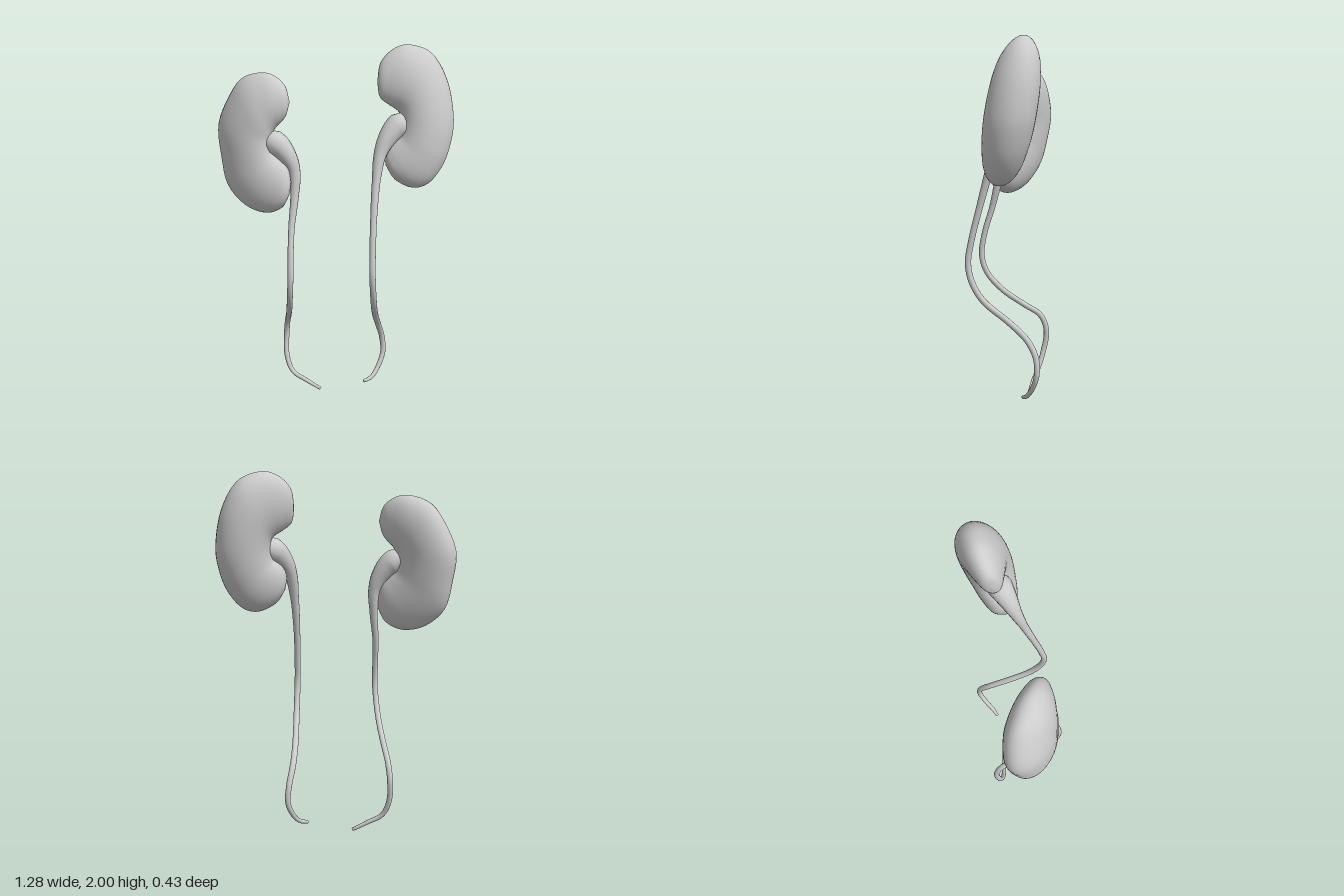
import * as THREE from 'three';

const V = (x, y, z) => new THREE.Vector3(x, y, z);

// Smooth skin over a row of closed rings, with a single point at each end
function loft(rings, start, end) {
  const n = rings[0].length, pos = [], idx = [];
  rings.flat().forEach(p => pos.push(p.x, p.y, p.z));
  const s = rings.length * n, e = s + 1, last = (rings.length - 1) * n;
  pos.push(...start.toArray(), ...end.toArray());
  for (let j = 0; j < n; j++) {
    const k = (j + 1) % n;
    idx.push(s, k, j, e, last + j, last + k);
    for (let i = 0; i < rings.length - 1; i++) {
      const a = i * n, b = a + n;
      idx.push(a + j, a + k, b + j, a + k, b + k, b + j);
    }
  }
  const g = new THREE.BufferGeometry();
  g.setAttribute('position', new THREE.Float32BufferAttribute(pos, 3));
  g.setIndex(idx);
  g.computeVertexNormals();
  return g;
}

// Ring of points around c, spanned by the half axes u and v
function ring(c, u, v, n) {
  return Array.from({ length: n }, (_, j) => {
    const a = (j / n) * Math.PI * 2;
    return c.clone().addScaledVector(u, Math.cos(a)).addScaledVector(v, Math.sin(a));
  });
}

// Bean body: elliptic sections fanned around the notch.
// Each station is [inner x, inner y, outer x, outer y]; depth(x, y) leans the body.
function kidneyGeometry(stations, thickness, depth, side) {
  const curve = pts => new THREE.CatmullRomCurve3(pts, false, 'catmullrom', 0.5);
  const inner = curve(stations.map((s, i) => V(s[0], s[1], thickness[i])));
  const outer = curve(stations.map(s => V(s[2], s[3], 0)));
  const rings = [], steps = 60;
  for (let i = 1; i < steps; i++) {
    const a = inner.getPoint(i / steps), b = outer.getPoint(i / steps), t = a.z;
    a.z = depth(a.x, a.y);
    b.z = depth(b.x, b.y);
    const c = a.clone().add(b).multiplyScalar(0.5);
    rings.push(ring(c, b.clone().sub(c), V(0, 0, t * side), 32));
  }
  const tip = s => V(s[0], s[1], depth(s[0], s[1]));
  return loft(rings, tip(stations[0]), tip(stations[stations.length - 1]));
}

// Tapered tube through points [x, y, z, radius]
function ureterGeometry(pts) {
  const curve = new THREE.CatmullRomCurve3(pts.map(p => V(p[0], p[1], p[2])));
  const steps = 90, f = curve.computeFrenetFrames(steps, false), rings = [];
  for (let i = 0; i <= steps; i++) {
    const t = curve.getUtoTmapping(i / steps) * (pts.length - 1);
    const k = Math.min(Math.floor(t), pts.length - 2);
    const r = THREE.MathUtils.lerp(pts[k][3], pts[k + 1][3], t - k);
    rings.push(ring(curve.getPointAt(i / steps),
      f.normals[i].clone().multiplyScalar(r), f.binormals[i].clone().multiplyScalar(r), 14));
  }
  return loft(rings, curve.getPoint(0), curve.getPoint(1));
}

export function createModel() {
  const model = new THREE.Group();
  const tissue = new THREE.MeshStandardMaterial({ color: 0xcccccc });
  tissue.name = 'paleGrey';
  const add = (name, geometry) => {
    const mesh = new THREE.Mesh(geometry, tissue);
    mesh.name = name;
    model.add(mesh);
  };

  // Half thickness from the upper lobe tip round to the lower lobe tip
  const thickness = [0, 0.045, 0.076, 0.1, 0.12, 0.13, 0.132, 0.127, 0.118, 0.105, 0.085, 0.054, 0];

  // Left kidney, higher and nearly square to the front
  add('leftKidney', kidneyGeometry([
    [0.222, 1.81, 0.222, 1.81], [0.235, 1.73, 0.24, 1.91], [0.28, 1.69, 0.31, 1.98],
    [0.32, 1.665, 0.40, 2.0], [0.34, 1.645, 0.52, 1.95], [0.346, 1.62, 0.605, 1.8],
    [0.346, 1.59, 0.638, 1.6], [0.34, 1.555, 0.615, 1.45], [0.328, 1.53, 0.57, 1.345],
    [0.302, 1.508, 0.50, 1.265], [0.275, 1.475, 0.415, 1.245], [0.262, 1.43, 0.32, 1.29],
    [0.27, 1.365, 0.27, 1.365],
  ], thickness, (x, y) => -0.063 - 0.08 * (x - 0.43) - 0.16 * (y - 1.6), 1));

  // Right kidney, lower and turned inward
  add('rightKidney', kidneyGeometry([
    [-0.243, 1.72, -0.243, 1.72], [-0.262, 1.65, -0.265, 1.8], [-0.29, 1.61, -0.32, 1.85],
    [-0.315, 1.585, -0.39, 1.865], [-0.33, 1.56, -0.49, 1.835], [-0.337, 1.54, -0.56, 1.755],
    [-0.34, 1.51, -0.636, 1.58], [-0.335, 1.47, -0.624, 1.4], [-0.32, 1.44, -0.59, 1.25],
    [-0.29, 1.41, -0.495, 1.15], [-0.255, 1.37, -0.38, 1.118], [-0.24, 1.3, -0.29, 1.155],
    [-0.247, 1.23, -0.247, 1.23],
  ], thickness, (x, y) => -0.007 + 0.44 * (x + 0.42) - 0.09 * (y - 1.5), -1));

  // Ureters: wide at the notch, thinning on the way down
  add('leftUreter', ureterGeometry([
    [0.41, 1.6, -0.055, 0.045], [0.335, 1.58, -0.025, 0.068], [0.28, 1.525, 0.005, 0.052],
    [0.238, 1.44, 0.035, 0.035], [0.216, 1.3, 0.075, 0.023], [0.202, 1.1, 0.13, 0.018],
    [0.197, 0.92, 0.175, 0.017], [0.197, 0.8, 0.193, 0.017], [0.202, 0.7, 0.172, 0.017],
    [0.21, 0.6, 0.11, 0.017], [0.225, 0.49, -0.03, 0.017], [0.245, 0.4, -0.13, 0.017],
    [0.268, 0.31, -0.18, 0.016], [0.276, 0.21, -0.185, 0.015], [0.24, 0.115, -0.15, 0.013],
    [0.205, 0.075, -0.12, 0.012], [0.162, 0.06, -0.1, 0.009],
  ]));
  add('rightUreter', ureterGeometry([
    [-0.405, 1.51, 0.01, 0.045], [-0.325, 1.5, 0.04, 0.068], [-0.262, 1.437, 0.053, 0.052],
    [-0.222, 1.35, 0.06, 0.033], [-0.221, 1.22, 0.08, 0.023], [-0.238, 1.05, 0.12, 0.017],
    [-0.243, 0.9, 0.165, 0.016], [-0.245, 0.77, 0.182, 0.016], [-0.25, 0.67, 0.152, 0.016],
    [-0.257, 0.57, 0.065, 0.016], [-0.268, 0.48, -0.065, 0.016], [-0.277, 0.42, -0.155, 0.016],
    [-0.285, 0.33, -0.19, 0.016], [-0.285, 0.2, -0.172, 0.015], [-0.25, 0.105, -0.145, 0.013],
    [-0.17, 0.055, -0.125, 0.012], [-0.088, 0.009, -0.11, 0.009],
  ]));
  return model;
}
